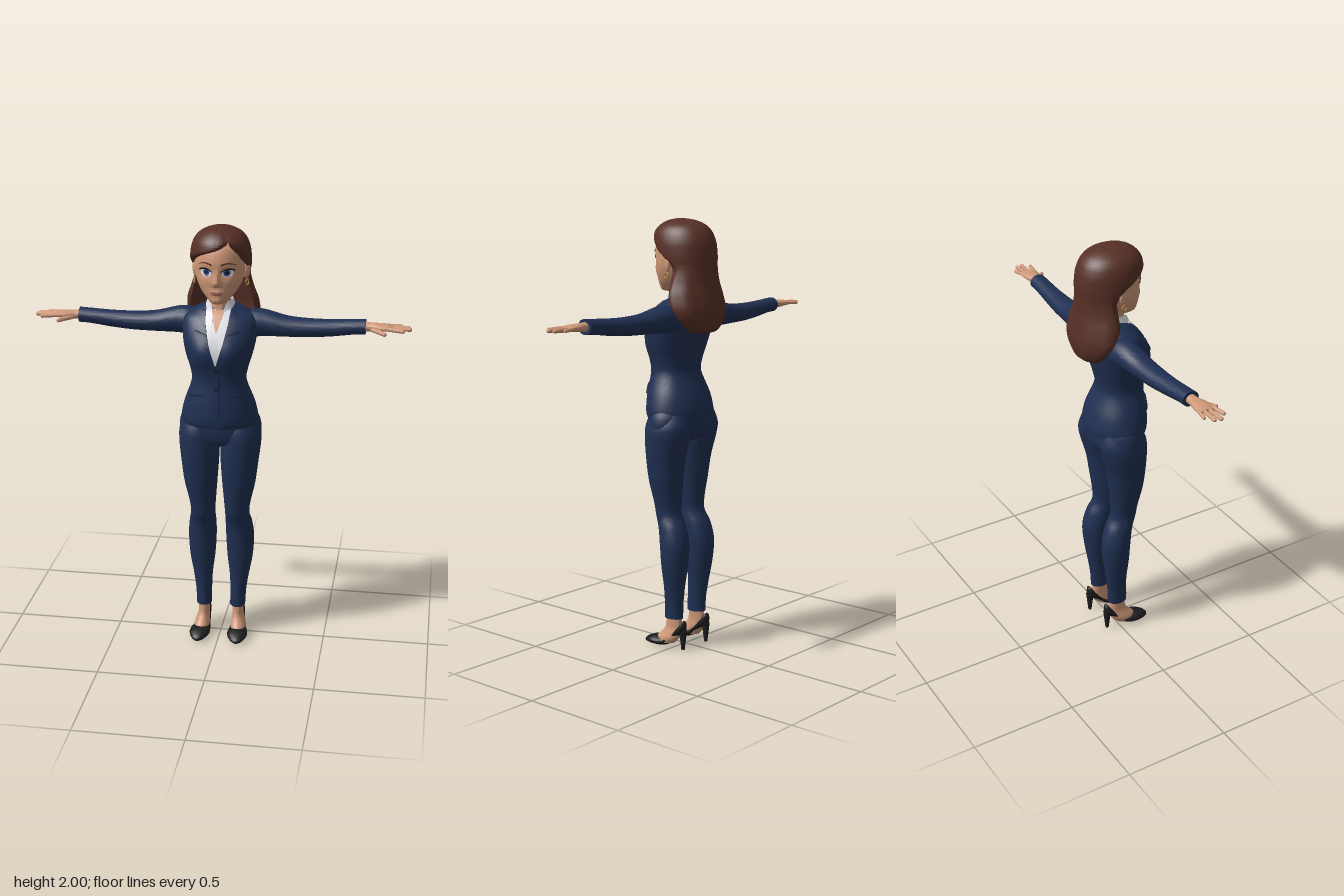
import * as THREE from 'three';
import { mergeVertices, toCreasedNormals } from 'three/addons/utils/BufferGeometryUtils.js';

const mat = (name, color, side = THREE.FrontSide) => {
  const m = new THREE.MeshStandardMaterial({ color, side });
  m.name = name;
  return m;
};

// smooth interpolation through rows [axis, centre, halfWidth, front, back, power, openFrom, openTo]
const full = r => [r[0], r[1], r[2], r[3], r[4], r[5] ?? 1, r[6] ?? 0, r[7] ?? 0];
function sample(rows, t) {
  const f = Math.min(Math.max(t, 0), 1) * (rows.length - 1);
  const i = Math.min(Math.floor(f), rows.length - 2), s = f - i;
  const [a, b, c, d] = [i - 1, i, i + 1, i + 2].map(k => full(rows[Math.min(Math.max(k, 0), rows.length - 1)]));
  return b.map((p, k) => p + 0.5 * s * (c[k] - a[k] + s * (2 * a[k] - 5 * p + 4 * c[k] - d[k] + s * (3 * (p - c[k]) + d[k] - a[k]))));
}

function build(pos, idx) {
  const g = new THREE.BufferGeometry();
  g.setAttribute('position', new THREE.Float32BufferAttribute(pos, 3));
  g.setIndex(idx);
  return toCreasedNormals(mergeVertices(g, 1e-5), 0.9);
}

// skin rings along y; a ring may stay open between two angles
function loft(rows, { n = 40, m = rows.length * 5, bump, tuck = 0, wave = 0, caps = true } = {}) {
  const pos = [], idx = [], W = n + 1, pw = (v, p) => Math.sign(v) * Math.abs(v) ** p;
  for (let j = 0; j <= m; j++) {
    const [y, cx, rx, zf, zb, p, e0, e1] = sample(rows, j / m);
    const gap = Math.max(0, e1 - e0), arc = Math.PI * 2 - gap, mid = (zf + zb) / 2, half = (zf - zb) / 2;
    for (let i = 0; i <= n; i++) {
      const u = i / n, a = e1 + u * arc, edge = Math.min(u, 1 - u) * arc;
      const k = 1 - tuck * Math.exp(-((edge / 0.13) ** 2)) * Math.min(1, 0.25 + gap * 3) + wave * Math.sin(a * 9) * Math.min(1, Math.max(0, (1.85 - y) * 4));
      const x = cx + rx * k * pw(Math.sin(a), p);
      pos.push(x, y, mid + half * k * pw(Math.cos(a), p) + (bump && Math.cos(a) > 0 ? bump(x, y) : 0));
    }
  }
  for (let j = 0; j < m; j++) for (let i = 0; i < n; i++) {
    const a = j * W + i;
    idx.push(a, a + 1, a + W + 1, a, a + W + 1, a + W);
  }
  if (caps) for (const j of [0, m]) {
    const r = sample(rows, j / m), c = pos.length / 3, b = j * W;
    pos.push(r[1], r[0], (r[3] + r[4]) / 2);
    for (let i = 0; i < n; i++) j ? idx.push(c, b + i, b + i + 1) : idx.push(c, b + i + 1, b + i);
  }
  return build(pos, idx);
}

// front depth of a loft at (x, y)
const frontOf = (rows, bump) => (x, y) => {
  let lo = 0, hi = 1;
  for (let k = 0; k < 24; k++) sample(rows, (lo + hi) / 2)[0] < y ? lo = (lo + hi) / 2 : hi = (lo + hi) / 2;
  const [, cx, rx, zf, zb, p] = sample(rows, lo);
  const s = Math.min(1, Math.abs(x - cx) / rx) ** (1 / p);
  return (zf + zb) / 2 + (zf - zb) / 2 * (1 - s * s) ** (p / 2) + (bump ? bump(x, y) : 0);
};

// thin raised plate on a front surface; rows [xL, yL, xR, yR] go upward
function plate(rows, front, off, { arch = 0, flip = false, sub = 4 } = {}) {
  const R = flip ? rows.map(([a, b, c, d]) => [-c, d, -a, b]) : rows;
  const pos = [], idx = [], N = 10, M = (R.length - 1) * sub, W = N + 3;
  for (let j = -1; j <= M + 1; j++) for (let i = -1; i <= N + 1; i++) {
    const f = Math.min(Math.max(j, 0), M) / sub, k = Math.min(Math.floor(f), R.length - 2), s = f - k;
    const u = Math.min(Math.max(i, 0), N) / N;
    const r = R[k].map((v, q) => v + (R[k + 1][q] - v) * s);
    const x = r[0] + (r[2] - r[0]) * u, y = r[1] + (r[3] - r[1]) * u + arch * Math.sin(Math.PI * u);
    const rim = j < 0 || j > M || i < 0 || i > N;
    pos.push(x, y, front(x, y) + (rim ? -0.003 : off));
  }
  for (let j = 0; j < M + 2; j++) for (let i = 0; i < N + 2; i++) {
    const a = j * W + i;
    idx.push(a, a + 1, a + W + 1, a, a + W + 1, a + W);
  }
  return build(pos, idx);
}
const oval = (cx, cy, w, h) => Array.from({ length: 9 }, (_, i) => {
  const a = (i / 8 - 0.5) * Math.PI * 0.98, y = cy + h * Math.sin(a), d = w * Math.cos(a);
  return [cx - d, y, cx + d, y];
});

export function createModel() {
  const skin = mat('skin', 0xcf9878), hair = mat('hair', 0x573026, THREE.DoubleSide), suit = mat('suit navy', 0x203052);
  const seam = mat('dark seam', 0x151f38), shirt = mat('shirt white', 0xe2e3e8, THREE.DoubleSide), black = mat('black leather', 0x1d1d1f);
  const eyeWhite = mat('eye white', 0xf0efee), iris = mat('iris blue', 0x2c4a94), lip = mat('lip', 0xb06a5c), gold = mat('earring gold', 0xb08a4a);
  const model = new THREE.Group();
  const add = (name, geo, material, parent = model) => {
    const mesh = new THREE.Mesh(geo, material);
    mesh.name = name;
    parent.add(mesh);
    return mesh;
  };
  const bell = (x, y, cx, cy, sx, sy) => Math.exp(-(((x - cx) / sx) ** 2) - ((y - cy) / sy) ** 2);

  // jacket body
  const jacketRows = [[1.095, 0, .172, .160, -.106], [1.13, 0, .176, .168, -.108], [1.2, 0, .16, .165, -.09, .95], [1.3, 0, .125, .155, -.05, .92],
    [1.36, 0, .13, .16, -.055, .9], [1.42, 0, .148, .17, -.07, .88], [1.48, 0, .162, .168, -.085, .86], [1.54, 0, .168, .146, -.095, .86],
    [1.59, 0, .163, .115, -.095, .9], [1.62, 0, .125, .09, -.085], [1.65, 0, .065, .06, -.06]];
  const bust = (x, y) => 0.014 * bell(Math.abs(x), y, .065, 1.445, .045, .06);
  const chest = frontOf(jacketRows, bust);
  add('jacket', loft(jacketRows, { n: 64, m: 70, bump: bust }), suit);
  add('shirtFront', plate([[-.002, 1.4, .002, 1.4], [-.032, 1.5, .032, 1.5], [-.05, 1.58, .05, 1.58], [-.055, 1.635, .055, 1.635]], chest, .004), shirt);
  add('openNeckline', plate([[-.002, 1.545, .002, 1.545], [-.03, 1.635, .03, 1.635]], chest, .006), skin);
  add('frontEdge', plate([[-.002, 1.1, .014, 1.1], [-.002, 1.4, .014, 1.4]], chest, .005), suit);
  add('frontSeam', plate([[.014, 1.1, .018, 1.1], [.014, 1.39, .018, 1.39]], chest, .002), seam);
  for (const y of [1.375, 1.285]) add('button', plate(oval(.004, y, .009, .009), chest, .009), seam);
  for (const flip of [false, true]) {
    add('lapel', plate([[.001, 1.395, .008, 1.4], [.028, 1.48, .075, 1.49], [.04, 1.53, .1, 1.545]], chest, .009, { flip }), suit);
    add('lapelCollar', plate([[.041, 1.538, .08, 1.56], [.052, 1.59, .085, 1.6], [.055, 1.63, .072, 1.632]], chest, .009, { flip }), suit);
    add('lapelNotch', plate([[.042, 1.531, .101, 1.547], [.042, 1.536, .098, 1.552]], chest, .0095, { flip }), seam);
    add('shirtCollarPoint', plate([[.028, 1.545, .034, 1.547], [.02, 1.585, .05, 1.58], [.028, 1.635, .055, 1.632]], chest, .009, { flip }), shirt);
    add('pocketFlap', plate([[.062, 1.222, .128, 1.204], [.058, 1.252, .126, 1.238]], chest, .008, { flip }), suit);
    add('pocketSeam', plate([[.057, 1.252, .127, 1.238], [.057, 1.256, .127, 1.242]], chest, .006, { flip }), seam);
  }
  add('shirtCollar', loft([[1.6, 0, .085, .11, -.07, 1, -.5, .5], [1.64, 0, .068, .09, -.062, 1, -.4, .4], [1.672, 0, .058, .08, -.056, 1, -.75, .75]], { caps: false }), shirt);

  // trousers hips
  add('hips', loft([[.985, 0, .1, .08, -.04], [1.01, 0, .165, .12, -.08], [1.05, 0, .188, .133, -.1], [1.1, 0, .186, .135, -.102], [1.15, 0, .165, .13, -.09]]), suit);

  // neck and head
  add('neck', loft([[1.57, 0, .06, .09, -.04], [1.64, 0, .046, .075, -.038], [1.73, 0, .046, .07, -.045]]), skin);
  const headRows = [[1.668, 0, .012, .11, .07], [1.673, 0, .034, .128, .02], [1.69, 0, .054, .135, -.02], [1.72, 0, .08, .137, -.05], [1.76, 0, .1, .138, -.07],
    [1.8, 0, .11, .14, -.09], [1.86, 0, .111, .143, -.1], [1.92, 0, .1, .125, -.09], [1.96, 0, .06, .08, -.06], [1.975, 0, .01, .03, 0]];
  const features = (x, y) => {
    const ax = Math.abs(x), down = Math.min(1, Math.max(0, (1.835 - y) / .065)), end = 1 / (1 + Math.exp((1.757 - y) / .003));
    return 0.021 * down * end * Math.exp(-((x / (.009 + .007 * down)) ** 2)) - 0.009 * bell(ax, y, .047, 1.815, .026, .02)
      + 0.006 * bell(x, y, 0, 1.725, .026, .012) + 0.005 * bell(x, y, 0, 1.688, .025, .013) + 0.004 * bell(ax, y, .06, 1.77, .025, .025);
  };
  const face = frontOf(headRows, features);
  add('head', loft(headRows, { n: 120, m: 110, bump: features }), skin);
  add('lowerLip', plate(oval(0, 1.72, .026, .006), face, .003), lip);
  add('upperLip', plate([[-.03, 1.724, .03, 1.724], [-.02, 1.731, .02, 1.731]], face, .003), lip);
  for (const flip of [false, true]) {
    add('eyeWhite', plate(oval(.048, 1.815, .026, .0165), face, .002, { flip }), eyeWhite);
    add('iris', plate(oval(.046, 1.815, .0145, .0155), face, .0035, { flip }), iris);
    add('pupil', plate(oval(.046, 1.815, .007, .008), face, .0045, { flip }), black);
    add('eyelash', plate([[.02, 1.817, .078, 1.822], [.021, 1.822, .08, 1.828]], face, .005, { arch: .011, flip }), black);
    add('eyebrow', plate([[.02, 1.847, .084, 1.847], [.02, 1.854, .083, 1.849]], face, .004, { arch: .009, flip }), hair);
  }

  // side-parted long hair, open around the face
  add('hair', loft([[1.487, 0, .03, -.085, -.125, 1, -1.3, 1.3], [1.5, 0, .095, -.05, -.155, 1, -1.4, 1.4], [1.55, 0, .145, .0, -.174, 1, -1.45, 1.45],
    [1.6, 0, .168, .05, -.178, 1, -1.45, 1.45], [1.66, 0, .163, .08, -.168, 1, -1.4, 1.4], [1.72, 0, .145, .1, -.157, 1, -1.55, 1.55],
    [1.78, 0, .134, .13, -.155, 1, -1.68, 1.68], [1.83, 0, .136, .15, -.156, 1, -1.4, 1.35], [1.86, 0, .136, .156, -.154, 1, -1.05, 1.05],
    [1.89, 0, .134, .157, -.15, 1, -.55, .85], [1.92, 0, .127, .153, -.14, 1, .15, .6], [1.945, 0, .116, .143, -.126, 1, .44, .48],
    [1.97, 0, .094, .12, -.1, 1, .45, .46], [1.99, 0, .055, .085, -.055, 1, .45, .45], [2, 0, .008, .03, .01, 1, .45, .45]],
  { n: 110, m: 100, tuck: .13, wave: .013 }), hair);

  // paired limbs, made on the left and mirrored
  const capsule = (name, a, b, r, parent) => {
    const A = new THREE.Vector3(...a), B = new THREE.Vector3(...b), d = B.clone().sub(A);
    const mesh = add(name, new THREE.CapsuleGeometry(r, d.length(), 5, 12), skin, parent);
    mesh.position.copy(A).add(B).multiplyScalar(.5);
    mesh.quaternion.setFromUnitVectors(new THREE.Vector3(0, 1, 0), d.normalize());
  };
  for (const side of [1, -1]) {
    const half = new THREE.Group();
    half.name = side > 0 ? 'leftLimbs' : 'rightLimbs';
    half.scale.x = side;
    model.add(half);

    // sleeve and hand
    add('sleeve', loft([[.09, -1.55, .05, .04, -.075], [.14, -1.555, .064, .05, -.085], [.2, -1.557, .06, .046, -.08], [.3, -1.547, .047, .046, -.066],
      [.4, -1.545, .042, .044, -.058], [.5, -1.55, .038, .04, -.048], [.6, -1.56, .034, .039, -.041], [.65, -1.563, .034, .04, -.04]]).rotateZ(-Math.PI / 2), suit, half);
    add('palm', loft([[.635, -1.563, .022, .024, -.024], [.67, -1.563, .02, .026, -.024], [.71, -1.564, .017, .041, -.034], [.75, -1.565, .013, .046, -.037],
      [.768, -1.565, .007, .036, -.03]]).rotateZ(-Math.PI / 2), skin, half);
    [[.036, .815, .05], [.014, .845, .017], [-.009, .838, -.011], [-.028, .803, -.038]].forEach(([z, x, tz], i) =>
      capsule('finger', [.745, 1.565, z], [x, 1.562, tz], i === 3 ? .0078 : .009, half));
    capsule('thumb', [.68, 1.556, .022], [.735, 1.55, .066], .01, half);

    // trouser leg
    add('trouserLeg', loft([[.147, .081, .036, .045, -.05], [.22, .083, .038, .042, -.053], [.3, .087, .045, .042, -.063], [.4, .09, .06, .049, -.078],
      [.5, .09, .066, .056, -.085], [.58, .086, .063, .068, -.066], [.64, .081, .057, .09, -.036], [.7, .082, .062, .1, -.034], [.8, .089, .077, .119, -.044],
      [.9, .092, .087, .13, -.058], [1, .096, .094, .134, -.085], [1.06, .096, .092, .13, -.095], [1.12, .09, .075, .11, -.08]], { m: 70 }), suit, half);

    // foot and heeled shoe
    add('foot', loft([[.025, .089, .036, .095, -.01], [.05, .088, .036, .085, -.035], [.075, .085, .031, .06, -.05], [.105, .082, .026, .042, -.05], [.165, .081, .028, .035, -.042]]), skin, half);
    add('shoe', loft([[-.072, .083, .01, -.09, -.135], [-.062, .083, .023, -.075, -.14], [-.04, .083, .029, -.064, -.112], [-.01, .084, .032, -.042, -.08],
      [.025, .087, .039, -.012, -.054], [.06, .09, .046, -.004, -.05], [.1, .091, .047, -.003, -.049], [.138, .093, .03, -.004, -.035], [.156, .094, .009, -.008, -.02]]).rotateX(Math.PI / 2), black, half);
    add('heel', new THREE.CylinderGeometry(.019, .008, .095, 20), black, half).position.set(.083, .0475, -.06);

    // ear and earring
    const ear = add('ear', new THREE.SphereGeometry(1, 24, 16), skin, half);
    ear.position.set(.116, 1.8, .002);
    ear.scale.set(.012, .036, .021);
    ear.rotation.set(-.15, -.5, -.1);
    const hoop = add('earring', new THREE.TorusGeometry(.014, .0028, 8, 24), gold, half);
    hoop.position.set(.119, 1.748, .008);
    hoop.rotation.y = Math.PI / 2 - .3;
  }
  return model;
}
